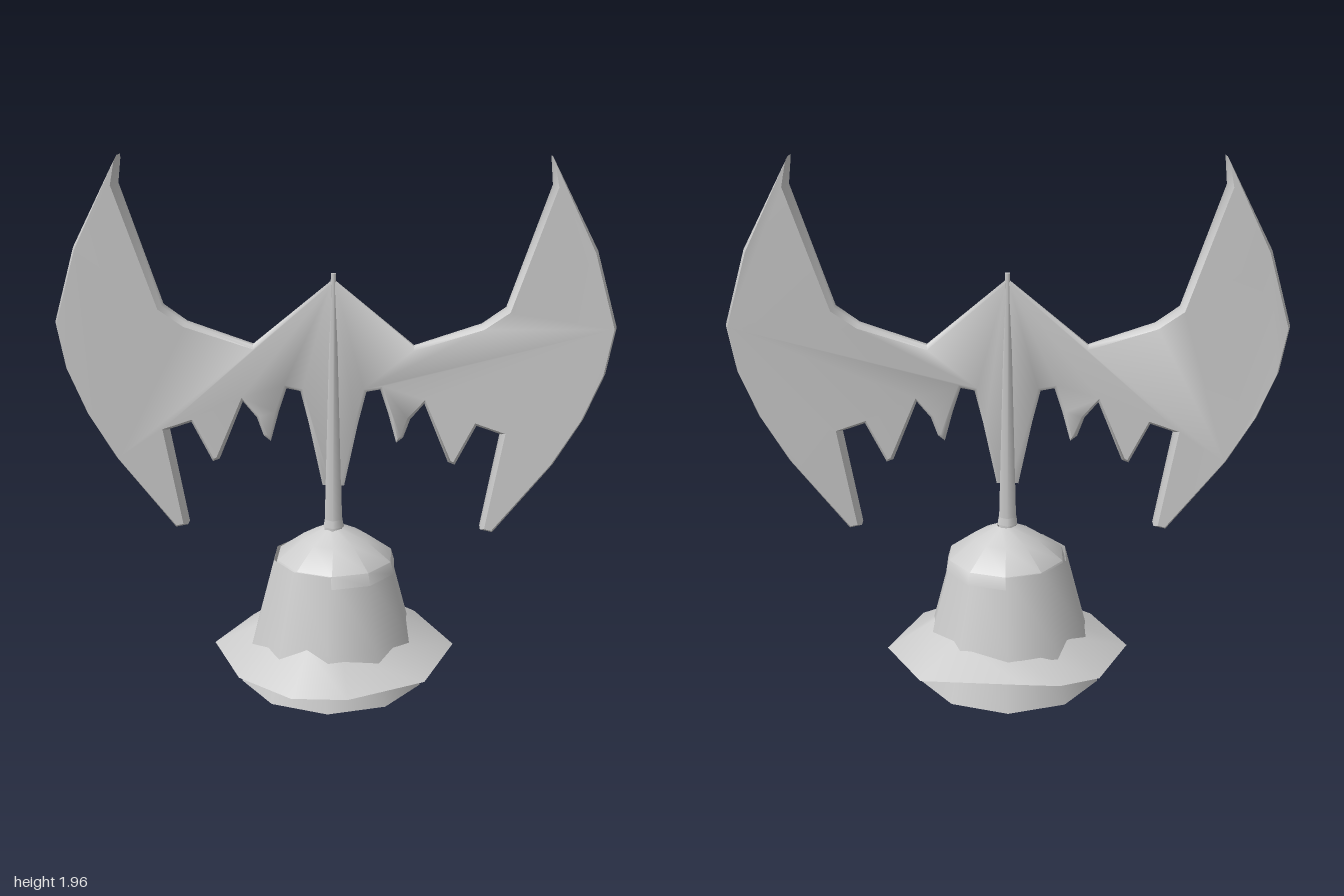
import * as THREE from 'three';
import { toCreasedNormals } from 'three/addons/utils/BufferGeometryUtils.js';

const material = new THREE.MeshStandardMaterial({ color: 0xcccccc, side: THREE.DoubleSide });

function part(name, geometry, x = 0, y = 0, z = 0) {
  const mesh = new THREE.Mesh(geometry, material);
  mesh.name = name;
  mesh.position.set(x, y, z);
  return mesh;
}

const lathe = (points, sides) =>
  new THREE.LatheGeometry(points.map(([r, y]) => new THREE.Vector2(r, y)), sides);

// Jagged bat wing: flat outline whose thickness grows away from the pole
function wingGeometry(side) {
  const outline = [
    [0, 1.53], [0, 0.76], [0.04, 0.76], [0.09, 1.0], [0.12, 1.12], [0.17, 1.13],
    [0.2, 1.04], [0.23, 0.93], [0.255, 0.95], [0.28, 1.02], [0.33, 1.08],
    [0.42, 0.86], [0.445, 0.85], [0.52, 1.0], [0.61, 0.97], [0.545, 0.6], [0.59, 0.59],
    [0.8, 0.86], [0.9, 1.03], [0.97, 1.2], [1, 1.37], [0.92, 1.64], [0.75, 1.96],
    [0.76, 1.86], [0.615, 1.43], [0.53, 1.37], [0.29, 1.29],
  ];
  const shape = new THREE.Shape(outline.map(([x, y]) => new THREE.Vector2(x * side, y)));
  const geo = new THREE.ExtrudeGeometry(shape, {
    depth: 1, bevelEnabled: true, bevelSegments: 1,
    bevelThickness: 0.5, bevelSize: 0.012, bevelOffset: -0.012,
  });
  const pos = geo.attributes.position;
  for (let i = 0; i < pos.count; i++) {
    const half = 0.008 + 0.064 * Math.min(Math.abs(pos.getX(i)), 0.9);
    const offset = -0.01 * Math.abs(pos.getX(i));
    pos.setZ(i, (pos.getZ(i) - 0.5) * half + offset);
  }
  return toCreasedNormals(geo, 0.9);
}

// Uneven brim lofted from a wavy inner ring to an irregular outer ring
function brimGeometry() {
  const outer = [
    [0.46, 0.1, -0.05], [0.345, 0.095, 0.26], [0.07, 0.095, 0.41], [-0.13, 0.1, 0.42],
    [-0.335, 0.095, 0.26], [-0.46, 0.1, -0.02], [-0.34, 0.1, -0.28], [-0.19, 0.14, -0.41],
    [-0.06, 0.155, -0.43], [0.315, 0.11, -0.325],
  ];
  const n = outer.length, positions = [], index = [];
  const ring = (radius, y, wave) => outer.forEach(([ox, , oz], i) => {
    const a = Math.atan2(oz, ox);
    positions.push(Math.cos(a) * radius, y + (i % 3 === 0 ? wave : 0), Math.sin(a) * radius - 0.01);
  });
  ring(0.28, 0.185, 0.03);
  outer.forEach(p => positions.push(...p));
  ring(0.31, 0.1, 0);
  for (let r = 0; r < 2; r++) {
    for (let i = 0; i < n; i++) {
      const a = r * n + i, b = r * n + (i + 1) % n;
      index.push(a, b, a + n, b, b + n, a + n);
    }
  }
  const geo = new THREE.BufferGeometry();
  geo.setAttribute('position', new THREE.Float32BufferAttribute(positions, 3));
  geo.setIndex(index);
  // reverse winding so the top faces up
  for (let i = 0; i < index.length; i += 3) {
    const t = geo.index.getX(i);
    geo.index.setX(i, geo.index.getX(i + 1));
    geo.index.setX(i + 1, t);
  }
  return toCreasedNormals(geo, 0.9);
}

export function createModel() {
  const model = new THREE.Group();
  model.name = 'wingedBell';

  // Hollow bell
  model.add(part('bellBody', lathe([[0.355, 0], [0.3, 0.2], [0.225, 0.48]], 10), -0.005, 0, -0.01));
  model.add(part('bellCap', toCreasedNormals(
    lathe([[0.235, 0.435], [0.222, 0.48], [0.125, 0.55], [0.035, 0.595]], 10), 0.8), 0.005, 0, -0.01));
  model.add(part('brim', brimGeometry()));

  // Tapered pole with a small collar at its foot
  model.add(part('pole', new THREE.CylinderGeometry(0.01, 0.038, 0.98, 6), 0, 1.06, 0));
  model.add(part('collar', new THREE.CylinderGeometry(0.036, 0.042, 0.03, 6), 0, 0.615, 0));

  model.add(part('leftWing', wingGeometry(1)));
  model.add(part('rightWing', wingGeometry(-1)));
  return model;
}
